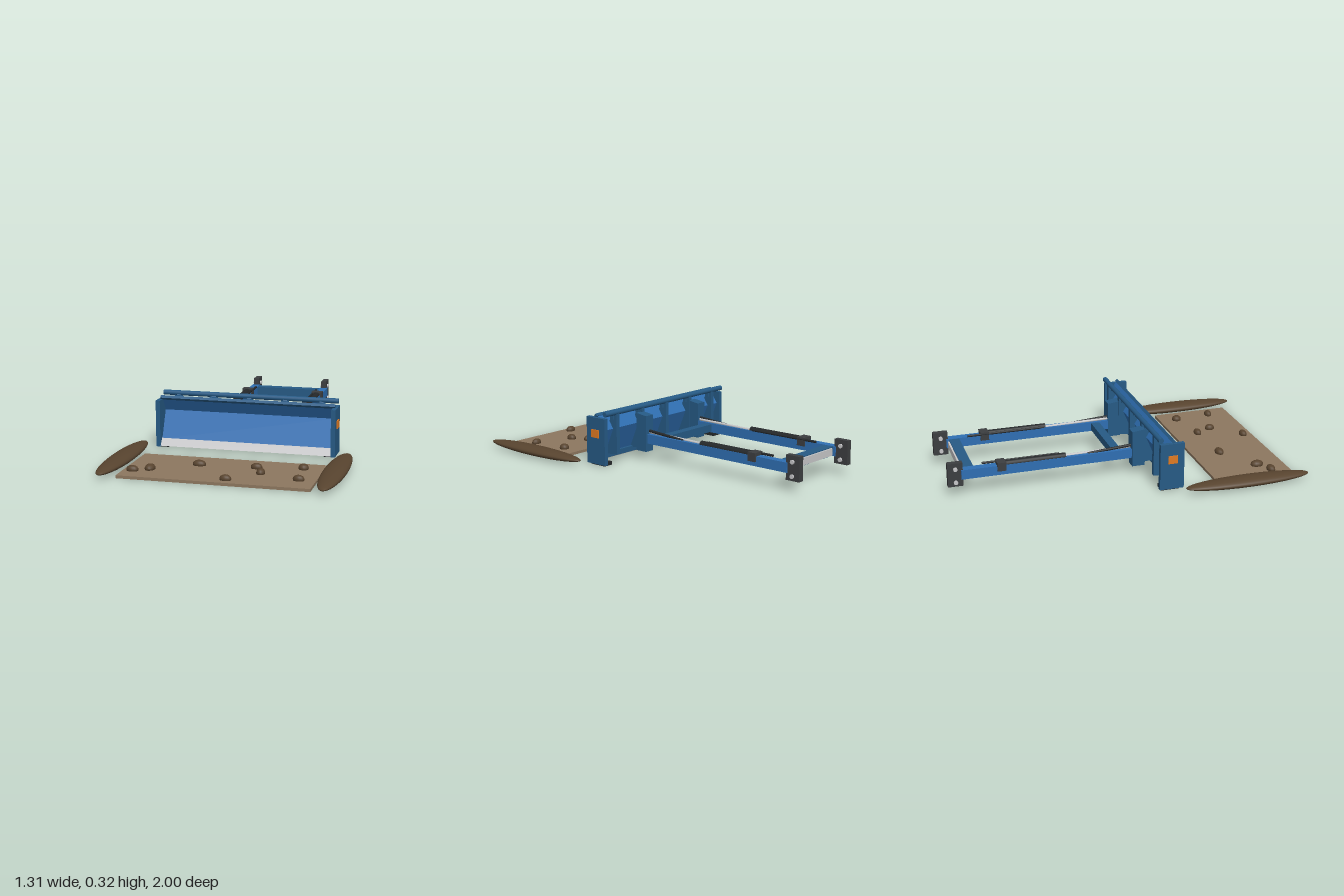
import * as THREE from 'three';

export function createModel() {
  const root = new THREE.Group();
  root.name = 'bladeAttachment';
  const mat = (name, color) => {
    const m = new THREE.MeshStandardMaterial({ color });
    m.name = name;
    return m;
  };
  const blue = mat('blue paint', 0x2f6fb3);
  const navy = mat('dark blue paint', 0x265a85);
  const black = mat('black rubber', 0x25282a);
  const iron = mat('dark iron', 0x3c3e40);
  const steel = mat('bright steel', 0xc6c6c8);
  const orange = mat('orange marker', 0xe07a22);
  const soil = mat('soil', 0x8d775f);
  const earth = mat('dark earth', 0x58442f);

  const add = (name, geo, m, x = 0, y = 0, z = 0, parent = root) => {
    const mesh = new THREE.Mesh(geo, m);
    mesh.name = name;
    mesh.position.set(x, y, z);
    parent.add(mesh);
    return mesh;
  };
  // Box given by its x, y and z ranges
  const box = (name, m, [x0, x1], [y0, y1], [z0, z1]) =>
    add(name, new THREE.BoxGeometry(x1 - x0, y1 - y0, z1 - z0), m,
      (x0 + x1) / 2, (y0 + y1) / 2, (z0 + z1) / 2);
  // Round bar between two points
  const bar = (name, m, a, b, r, sides = 12) => {
    const p = new THREE.Vector3(...a), q = new THREE.Vector3(...b);
    const mesh = add(name, new THREE.CylinderGeometry(r, r, p.distanceTo(q), sides), m);
    mesh.position.copy(p).lerp(q, 0.5);
    mesh.quaternion.setFromUnitVectors(new THREE.Vector3(0, 1, 0), q.sub(p).normalize());
    return mesh;
  };
  // Side profile of [z, y] points, extruded across x
  const across = (name, m, pts, width, x = 0) => {
    const s = new THREE.Shape(pts.map(([z, y]) => new THREE.Vector2(-z, y)));
    const g = new THREE.ExtrudeGeometry(s, { depth: width, bevelEnabled: false });
    g.translate(0, 0, -width / 2).rotateY(Math.PI / 2);
    return add(name, g, m, x);
  };

  // Folded mouldboard, top lip and cutting edge
  across('mouldboard', blue, [
    [0.235, 0.045], [0.165, 0.205], [0.215, 0.285],
    [0.203, 0.288], [0.15, 0.205], [0.22, 0.04],
  ], 1.0);
  across('topLip', navy, [[0.21, 0.272], [0.222, 0.285], [0.21, 0.298], [0.198, 0.285]], 1.02);
  across('cuttingEdge', steel, [[0.268, 0.012], [0.238, 0.052], [0.215, 0.048], [0.25, 0.008]], 1.0);

  // Top pipe, rear ribs and pipe brackets
  bar('topPipe', navy, [-0.515, 0.301, 0.135], [0.515, 0.301, 0.135], 0.015, 16);
  for (const x of [-0.42, -0.21, 0, 0.21, 0.42]) {
    across('rearRib', navy, [
      [0.122, 0.06], [0.225, 0.05], [0.156, 0.2], [0.18, 0.245], [0.15, 0.295], [0.122, 0.295],
    ], 0.025, x);
    box('pipeBracket', navy, [x - 0.022, x + 0.022], [0.262, 0.29], [0.14, 0.163]);
  }
  box('lowerRail', navy, [-0.5, 0.5], [0.03, 0.06], [0.195, 0.22]);

  for (const s of [-1, 1]) {
    const span = (a, b) => (s > 0 ? [a, b] : [-b, -a]);

    // Blade end plate, marker and skid shoe
    box('endPlate', navy, span(0.497, 0.522), [0.008, 0.277], [0.13, 0.27]);
    box('sideMarker', orange, span(0.521, 0.528), [0.162, 0.208], [0.175, 0.23]);
    box('skidShoe', black, span(0.455, 0.515), [0.002, 0.022], [0.14, 0.245]);

    // Arm with its blade mount and rear hitch plate
    box('pushArm', blue, span(0.203, 0.25), [0.1, 0.155], [-0.925, 0.08]);
    across('armMount', navy, [[0.055, 0.052], [0.13, 0.052], [0.13, 0.272], [0.055, 0.262]], 0.06, s * 0.231);
    box('hitchPlate', iron, span(0.21, 0.243), [0.06, 0.197], [-1.0, -0.915]);
    for (const y of [0.085, 0.163])
      bar('hitchPin', steel, [s * 0.2, y, -0.957], [s * 0.253, y, -0.957], 0.012);

    // Ram, hoses and clamp on the arm
    bar('ramBarrel', black, [s * 0.227, 0.154, -0.7], [s * 0.227, 0.154, -0.33], 0.02, 16);
    bar('ramRod', steel, [s * 0.222, 0.155, -0.34], [s * 0.222, 0.162, 0.06], 0.008);
    bar('feedHose', black, [s * 0.228, 0.153, -0.2], [s * 0.228, 0.172, 0.06], 0.008);
    bar('armHose', black, [s * 0.2, 0.162, -0.8], [s * 0.2, 0.162, -0.36], 0.007, 8);
    box('hoseClamp', iron, span(0.194, 0.26), [0.125, 0.174], [-0.725, -0.675]);

    // Windrow beside the cleared strip
    const row = add('windrow', new THREE.SphereGeometry(1, 20, 16).rotateX(Math.PI / 2), earth, s * 0.592, 0.031, 0.628);
    row.scale.set(0.065, 0.027, 0.371);
  }

  // Cross members and rear steel strip
  box('frontCrossMember', navy, [-0.205, 0.205], [0.105, 0.15], [-0.0, 0.05].map(v => v - 0.05));
  box('rearCrossMember', navy, [-0.205, 0.205], [0.102, 0.153], [-0.91, -0.85]);
  box('rearStrip', steel, [-0.185, 0.185], [0.107, 0.148], [-0.92, -0.909]);

  // Cleared strip with scattered clods: x, z, half width, half depth
  box('clearedStrip', soil, [-0.52, 0.52], [0, 0.016], [0.47, 0.935]);
  const clods = [
    [-0.152, 0.635, 0.037, 0.025], [0.163, 0.621, 0.032, 0.022], [0.41, 0.575, 0.028, 0.028],
    [0.21, 0.72, 0.024, 0.029], [-0.466, 0.825, 0.034, 0.024], [-0.384, 0.775, 0.028, 0.038],
    [0.062, 0.88, 0.032, 0.022], [0.43, 0.796, 0.031, 0.021],
  ];
  for (const [x, z, rx, rz] of clods)
    add('clod', new THREE.SphereGeometry(1, 14, 10), earth, x, 0.023, z).scale.set(rx, 0.023, rz);

  return root;
}
